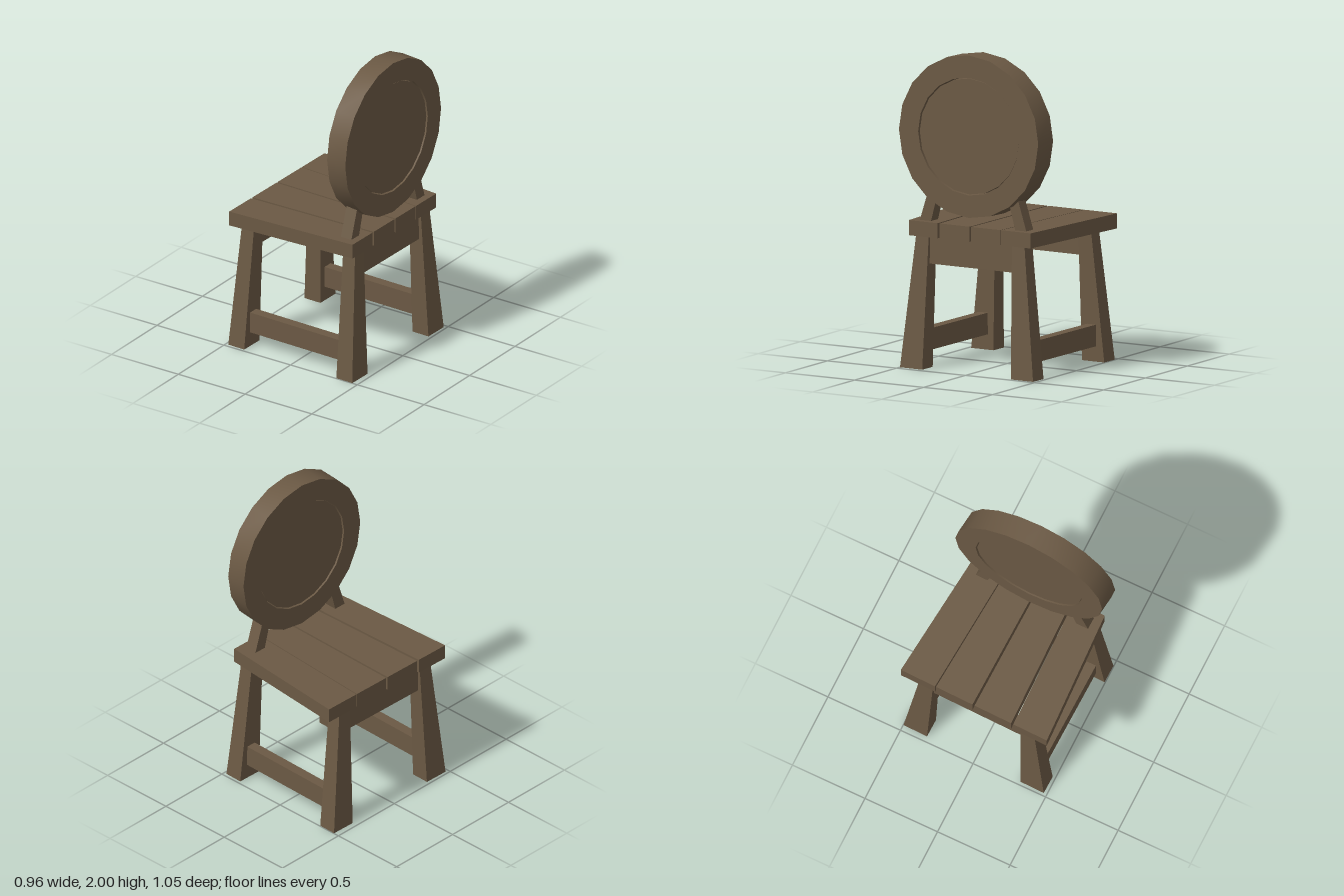
import * as THREE from 'three';
import { toCreasedNormals } from 'three/addons/utils/BufferGeometryUtils.js';

const YAW = 0.021; // the whole chair stands slightly turned

export function createModel() {
  const group = new THREE.Group();
  const wood = new THREE.MeshStandardMaterial({ color: 0x6b5944 });
  wood.name = 'dark wood';

  function add(name, geometry) {
    const mesh = new THREE.Mesh(geometry, wood);
    mesh.name = name;
    group.add(mesh);
    return mesh;
  }

  // Six-sided block between two quads of [x, z] corners: (-x,-z), (+x,-z), (+x,+z), (-x,+z)
  function block(name, y0, y1, bottom, top = bottom) {
    const g = new THREE.BoxGeometry(1, 1, 1);
    const p = g.attributes.position;
    for (let i = 0; i < p.count; i++) {
      const up = p.getY(i) > 0;
      const right = p.getX(i) > 0;
      const corner = p.getZ(i) > 0 ? (right ? 2 : 3) : (right ? 1 : 0);
      const [x, z] = (up ? top : bottom)[corner];
      p.setXYZ(i, x, up ? y1 : y0, z);
    }
    g.computeVertexNormals();
    return add(name, g);
  }

  // Rectangle in chair space, turned by the yaw
  const rect = (x0, x1, z0, z1) =>
    [[x0, z0], [x1, z0], [x1, z1], [x0, z1]].map(([x, z]) => [x - YAW * z, z + YAW * x]);
  const mirrored = (sx, sz, a, b, c, d) =>
    rect(Math.min(sx * a, sx * b), Math.max(sx * a, sx * b), Math.min(sz * c, sz * d), Math.max(sz * c, sz * d));

  // Seat planks, tapering towards the back: z edges at the front and the back
  const planks = [
    [-0.525, -0.287, -0.441, -0.226],
    [-0.280, -0.026, -0.220, -0.006],
    [-0.012, 0.243, 0.006, 0.225],
    [0.260, 0.491, 0.240, 0.452],
  ];
  planks.forEach(([f0, f1, b0, b1], i) => {
    const shift = (z) => -YAW * z;
    block('seatPlank' + (i + 1), 0.83, 0.925, [
      [-0.455 + shift(f0), f0], [0.441 + shift(b0), b0],
      [0.441 + shift(b1), b1], [-0.455 + shift(f1), f1],
    ]);
  });

  for (const sz of [-1, 1]) {
    const side = sz > 0 ? 'Near' : 'Far';
    // Splayed legs
    for (const sx of [-1, 1]) {
      block((sx > 0 ? 'back' : 'front') + 'Leg' + side, 0, 0.84,
        mirrored(sx, sz, 0.35, 0.471, 0.325, 0.488),
        mirrored(sx, sz, 0.337, 0.427, 0.305, 0.397));
    }
    // Low side stretcher
    block('stretcher' + side, 0.097, 0.233, mirrored(1, sz, -0.39, 0.39, 0.365, 0.43));
    // Leaning post carrying the backrest
    block('backPost' + side, 0.92, 1.16,
      mirrored(1, sz, 0.315, 0.395, 0.31, 0.392),
      mirrored(1, sz, 0.315, 0.395, 0.245, 0.315));
  }

  // Aprons under the seat
  block('frontApron', 0.66, 0.83, rect(-0.41, -0.355, -0.33, 0.33));
  block('backApron', 0.66, 0.83, rect(0.355, 0.41, -0.33, 0.33));

  // Round backrest, turned about x and slightly skewed
  function disc(name, profile, sides) {
    const points = profile.map(([r, y]) => new THREE.Vector2(r, y));
    const g = toCreasedNormals(new THREE.LatheGeometry(points, sides), 0.7);
    g.rotateZ(-Math.PI / 2);
    g.applyMatrix4(new THREE.Matrix4().set(
      1, 0, -YAW, 0.364,
      0, 1, 0, 1.49,
      0.12, 0, 1, 0.006,
      0, 0, 0, 1));
    add(name, g);
  }
  const h = 0.074;
  disc('backRing', [[0.511, -h], [0.511, h], [0.37, h], [0.37, -h], [0.511, -h]], 20);
  const d = h - 0.008;
  disc('backPanel', [[0, -d], [0.364, -d], [0.364, d], [0, d]], 20);

  return group;
}
